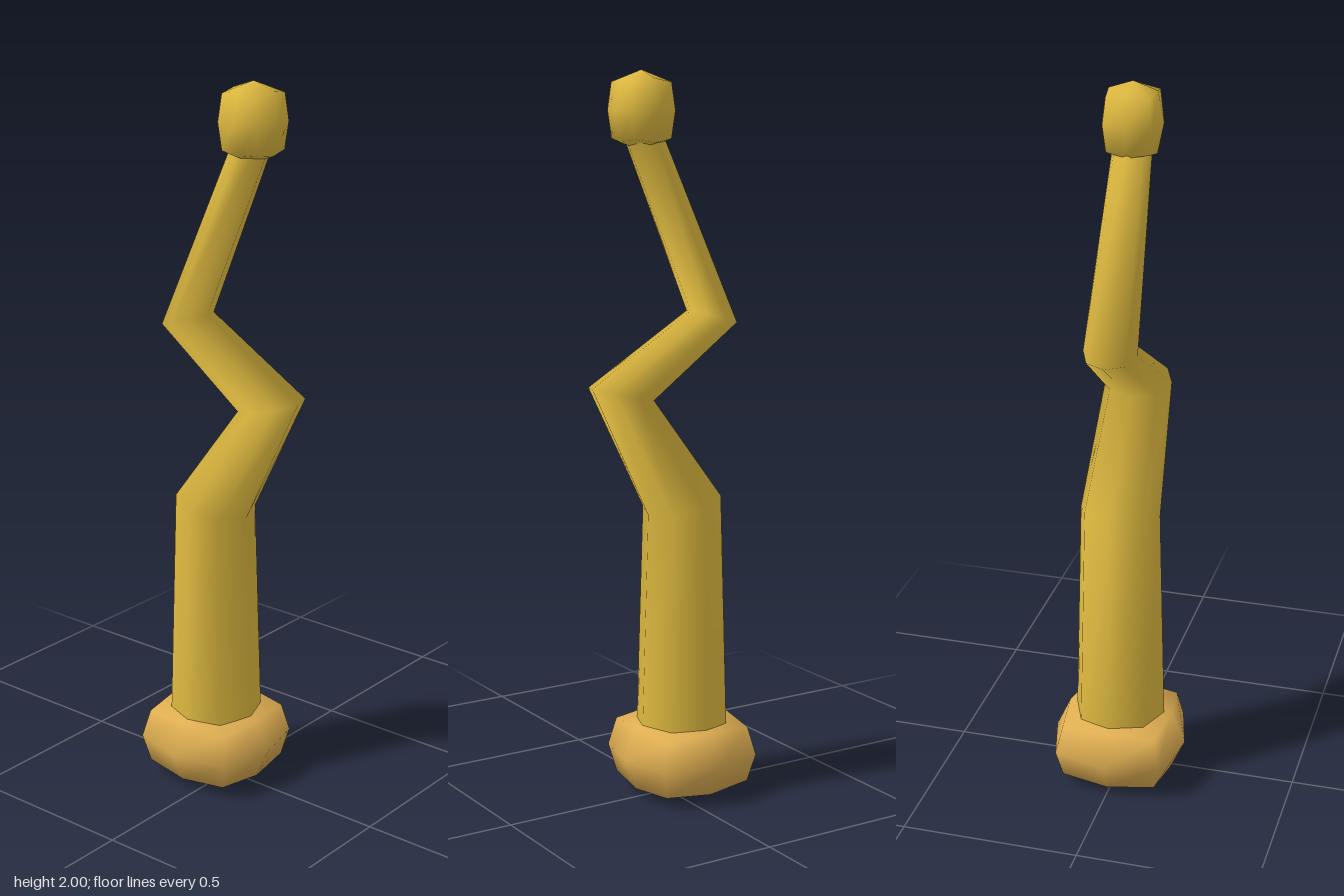
import * as THREE from 'three';
import { mergeVertices } from 'three/addons/utils/BufferGeometryUtils.js';

const SIDES = 8;

// Eight-sided tapering tube; each ring is [leftX, leftY, rightX, rightY, halfDepth]
function crookedTube(rings) {
  const pos = [], index = [];
  for (const [lx, ly, rx, ry, depth] of rings) {
    for (let i = 0; i < SIDES; i++) {
      const a = (i / SIDES) * Math.PI * 2, c = Math.cos(a);
      pos.push((lx + rx) / 2 + c * (rx - lx) / 2, (ly + ry) / 2 + c * (ry - ly) / 2, Math.sin(a) * depth);
    }
  }
  for (let r = 0; r < rings.length - 1; r++) {
    for (let i = 0; i < SIDES; i++) {
      const j = (i + 1) % SIDES;
      const a = r * SIDES + i, b = r * SIDES + j, c = a + SIDES, d = b + SIDES;
      index.push(a, c, b, b, c, d);
    }
  }
  const g = new THREE.BufferGeometry();
  g.setAttribute('position', new THREE.Float32BufferAttribute(pos, 3));
  g.setIndex(index);
  g.computeVertexNormals();
  return g;
}

// Rounded cube: edge and corner points of a 2x2x2 box are pulled inwards
function knob(halfX, halfY, halfZ) {
  let g = new THREE.BoxGeometry(2, 2, 2, 2, 2, 2);
  g.deleteAttribute('uv');
  g.deleteAttribute('normal');
  g = mergeVertices(g);
  const p = g.attributes.position;
  const v = new THREE.Vector3();
  for (let i = 0; i < p.count; i++) {
    v.fromBufferAttribute(p, i);
    const outer = v.toArray().filter((n) => Math.abs(n) > 0.5).length;
    v.multiplyScalar([0, 1, 0.79, 0.7][outer]);
    p.setXYZ(i, v.x * halfX, v.y * halfY, v.z * halfZ);
  }
  g.computeVertexNormals();
  return g;
}

export function createModel() {
  const gold = new THREE.MeshStandardMaterial({ color: 0xdfba40 });
  const amber = new THREE.MeshStandardMaterial({ color: 0xdfae52 });
  gold.name = 'gold';
  amber.name = 'amber';

  const model = new THREE.Group();
  model.name = 'crookedStaff';
  const add = (name, geometry, material, x = 0, y = 0) => {
    const mesh = new THREE.Mesh(geometry, material);
    mesh.name = name;
    mesh.position.set(x, y, 0);
    model.add(mesh);
  };

  // Zigzag shaft, thick at the foot and thin under the tip
  add('shaft', crookedTube([
    [-0.175, 0.18, 0.082, 0.18, 0.13],
    [-0.155, 0.858, 0.062, 0.802, 0.113],
    [0.058, 1.125, 0.236, 1.165, 0.094],
    [-0.212, 1.315, -0.075, 1.355, 0.074],
    [0.022, 1.835, 0.124, 1.812, 0.054],
  ]), gold);

  // Flattened foot and small tip knob
  add('footKnob', knob(0.191, 0.112, 0.191), amber, -0.047, 0.112);
  add('tipKnob', knob(0.082, 0.105, 0.083), gold, 0.081, 1.895);

  return model;
}
